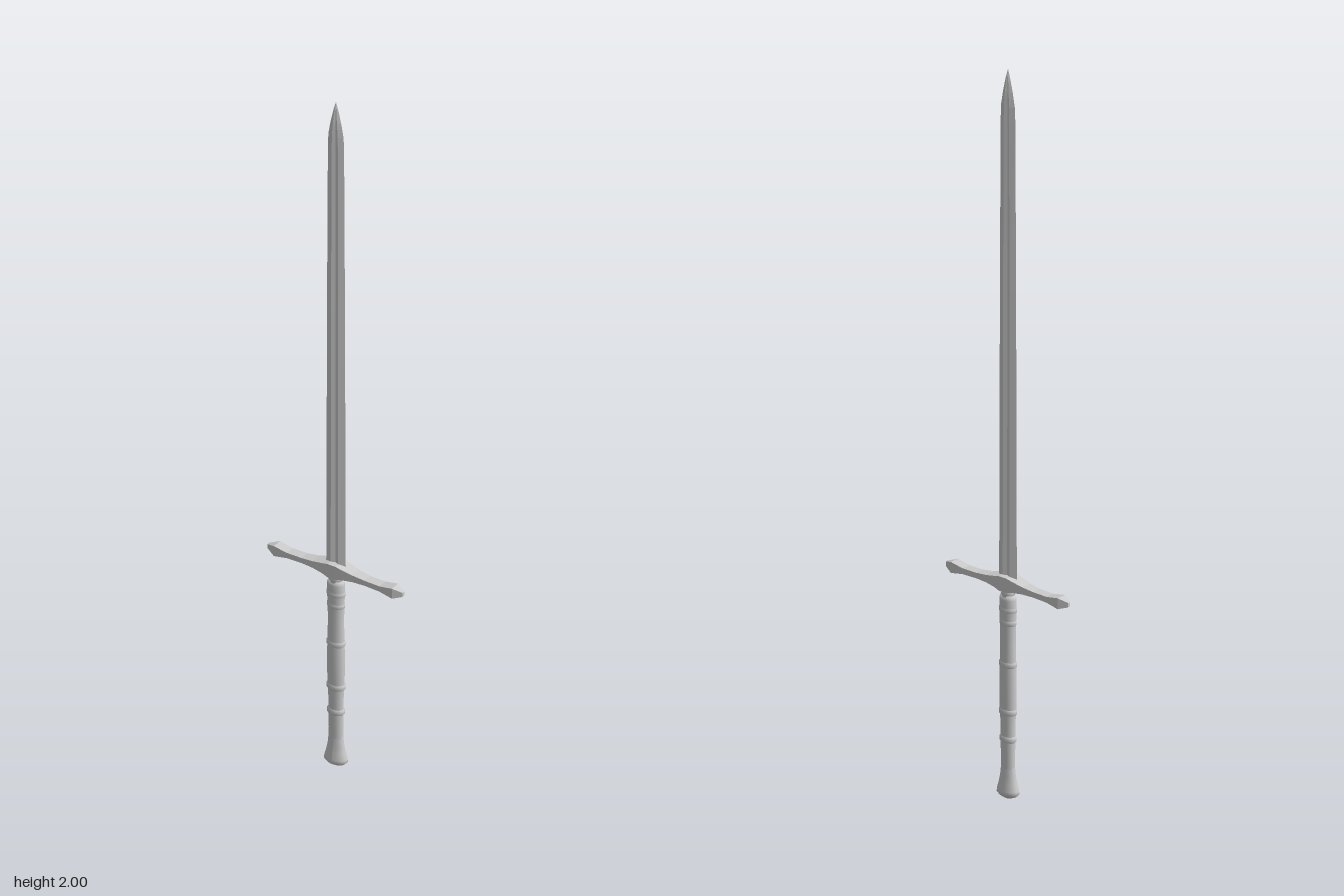
import * as THREE from 'three';

const steel = new THREE.MeshStandardMaterial({ color: 0xcccccc, flatShading: true });
const wrap = new THREE.MeshStandardMaterial({ color: 0xcccccc });

// Skin a list of equal-length rings (counter-clockwise seen from the far end) and cap both ends.
function loft(rings) {
  const n = rings[0].length;
  const pos = rings.flat(2);
  const index = [];
  for (let r = 0; r < rings.length - 1; r++) {
    for (let i = 0; i < n; i++) {
      const a = r * n + i, b = r * n + (i + 1) % n;
      index.push(a, b, b + n, a, b + n, a + n);
    }
  }
  [0, rings.length - 1].forEach((r, end) => {
    const c = pos.length / 3;
    for (let k = 0; k < 3; k++) pos.push(rings[r].reduce((s, p) => s + p[k], 0) / n);
    for (let i = 0; i < n; i++) {
      const a = r * n + i, b = r * n + (i + 1) % n;
      index.push(...(end ? [c, a, b] : [c, b, a]));
    }
  });
  const g = new THREE.BufferGeometry();
  g.setAttribute('position', new THREE.Float32BufferAttribute(pos, 3));
  g.setIndex(index);
  const flat = g.toNonIndexed();
  flat.computeVertexNormals();
  return flat;
}

function add(group, name, geometry, material) {
  const mesh = new THREE.Mesh(geometry, material);
  mesh.name = name;
  group.add(mesh);
}

// Blade section: two ridges with a fuller between them on each face.
function bladeRing([y, w, t]) {
  const ridge = w * 0.38;
  return [
    [w, y, 0], [ridge, y, -t], [0, y, -t * 0.4], [-ridge, y, -t],
    [-w, y, 0], [-ridge, y, t], [0, y, t * 0.4], [ridge, y, t],
  ];
}

// Guard section: a plain rectangle standing across x.
function guardRing([x, y, h, d]) {
  return [[x, y + h, d], [x, y - h, d], [x, y - h, -d], [x, y + h, -d]];
}

export function createModel() {
  const sword = new THREE.Group();
  sword.name = 'sword';

  // Long blade: height, half width, half thickness
  add(sword, 'blade', loft([
    [0.59, 0.0295, 0.0075], [1.4, 0.027, 0.007], [1.86, 0.0245, 0.006],
    [1.9, 0.023, 0.0055], [1.94, 0.016, 0.005], [1.975, 0.008, 0.003], [2, 0.0008, 0.0005],
  ].map(bladeRing)), steel);

  // Cross-guard: x, centre height, half height, half depth; mirrored to the other arm
  const arm = [
    [0.012, 0.593, 0.02, 0.0215], [0.03, 0.593, 0.015, 0.0195], [0.06, 0.591, 0.01, 0.016],
    [0.095, 0.589, 0.0075, 0.0135], [0.14, 0.588, 0.008, 0.0135],
    [0.178, 0.588, 0.015, 0.0145], [0.204, 0.588, 0.006, 0.004],
  ];
  const mirrored = arm.map(([x, ...rest]) => [-x, ...rest]).reverse();
  add(sword, 'crossGuard', loft([...mirrored, ...arm].map(guardRing)), steel);

  // Flattened round parts of the hilt: radius and height, listed from the bottom up
  const turned = (name, points, depth) => {
    const g = new THREE.LatheGeometry(points.map(([r, y]) => new THREE.Vector2(r, y)), 20);
    g.scale(1, 1, depth);
    g.computeVertexNormals();
    add(sword, name, g, wrap);
  };

  turned('collar', [[0, 0.552], [0.019, 0.552], [0.018, 0.565], [0.021, 0.582], [0, 0.582]], 0.85);
  turned('grip', [
    [0.0205, 0.085], [0.02, 0.11], [0.0215, 0.16], [0.021, 0.2], [0.0235, 0.24],
    [0.0245, 0.29], [0.0245, 0.34], [0.0235, 0.38], [0.0225, 0.43], [0.023, 0.48],
    [0.0245, 0.51], [0.025, 0.548], [0.0215, 0.56], [0, 0.56],
  ], 0.7);

  // Raised binding rings
  for (const [y, r] of [[0.52, 0.0258], [0.485, 0.0248], [0.37, 0.0258], [0.24, 0.0262], [0.165, 0.0245]]) {
    turned('gripRing', [
      [r - 0.004, y - 0.009], [r, y - 0.005], [r, y + 0.005], [r - 0.004, y + 0.009],
    ], 0.7);
  }

  // Flared pommel
  turned('pommel', [
    [0, 0], [0.012, 0.003], [0.027, 0.01], [0.0335, 0.017], [0.0325, 0.025],
    [0.0275, 0.043], [0.0235, 0.062], [0.0205, 0.09],
  ], 0.63);

  return sword;
}
